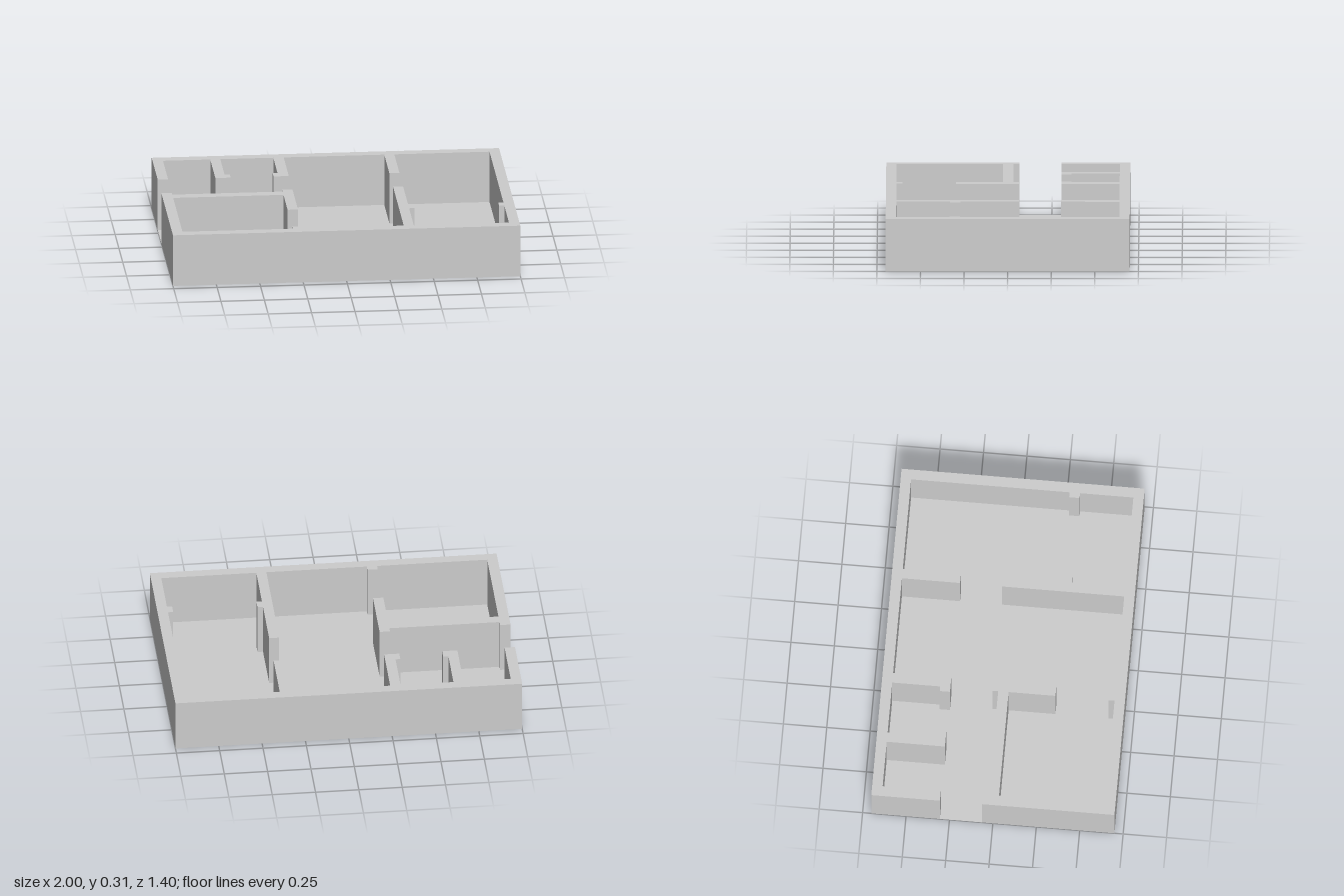
import * as THREE from 'three';

const HEIGHT = 0.306, FLOOR = 0.002;
const X = 1, Z = 0.7;        // outer half sizes
const XI = 0.94, ZI = 0.64;  // inner faces of the outer walls

export function createModel() {
  const model = new THREE.Group();
  model.name = 'floorPlan';
  const material = new THREE.MeshStandardMaterial({ color: 0xcccccc });

  // Upright block filling a rectangle of the plan
  function block(name, x0, x1, z0, z1, y0 = FLOOR, y1 = HEIGHT) {
    const mesh = new THREE.Mesh(new THREE.BoxGeometry(x1 - x0, y1 - y0, z1 - z0), material);
    mesh.position.set((x0 + x1) / 2, (y0 + y1) / 2, (z0 + z1) / 2);
    mesh.name = name;
    model.add(mesh);
  }

  block('floor', -X, X, -Z, Z, 0, FLOOR);

  // Outer walls, with the entrance gap on the right side
  block('backWall', -X, X, -Z, -ZI);
  block('frontWall', -X, X, ZI, Z);
  block('leftWall', XI, X, -ZI, ZI);
  block('rightWallBack', -X, -XI, -ZI, -0.305);
  block('rightWallFront', -X, -XI, -0.063, ZI);

  // Partitions running from the back wall
  block('closetPartition', -0.668, -0.61, -ZI, -0.305);
  block('hallPartition', -0.305, -0.245, -ZI, -0.305);
  block('backRoomPartition', 0.334, 0.392, -ZI, -0.305);

  // Front right room
  block('roomBackPartition', -XI, -0.305, -0.03, 0.03);
  block('roomSidePartition', -0.305, -0.245, -0.063, 0.3);

  // Front left room
  block('frontRoomPartition', 0.334, 0.392, -0.063, ZI);

  // Door jambs
  block('closetJamb', -0.61, -0.58, -0.364, -0.305);
  block('hallJamb', -0.333, -0.305, -0.364, -0.305);
  block('roomJamb', -0.305, -0.245, 0.605, ZI);
  block('frontRoomJambInner', 0.392, 0.424, 0.273, 0.333);
  block('frontRoomJambOuter', 0.91, XI, 0.273, 0.333);

  return model;
}
